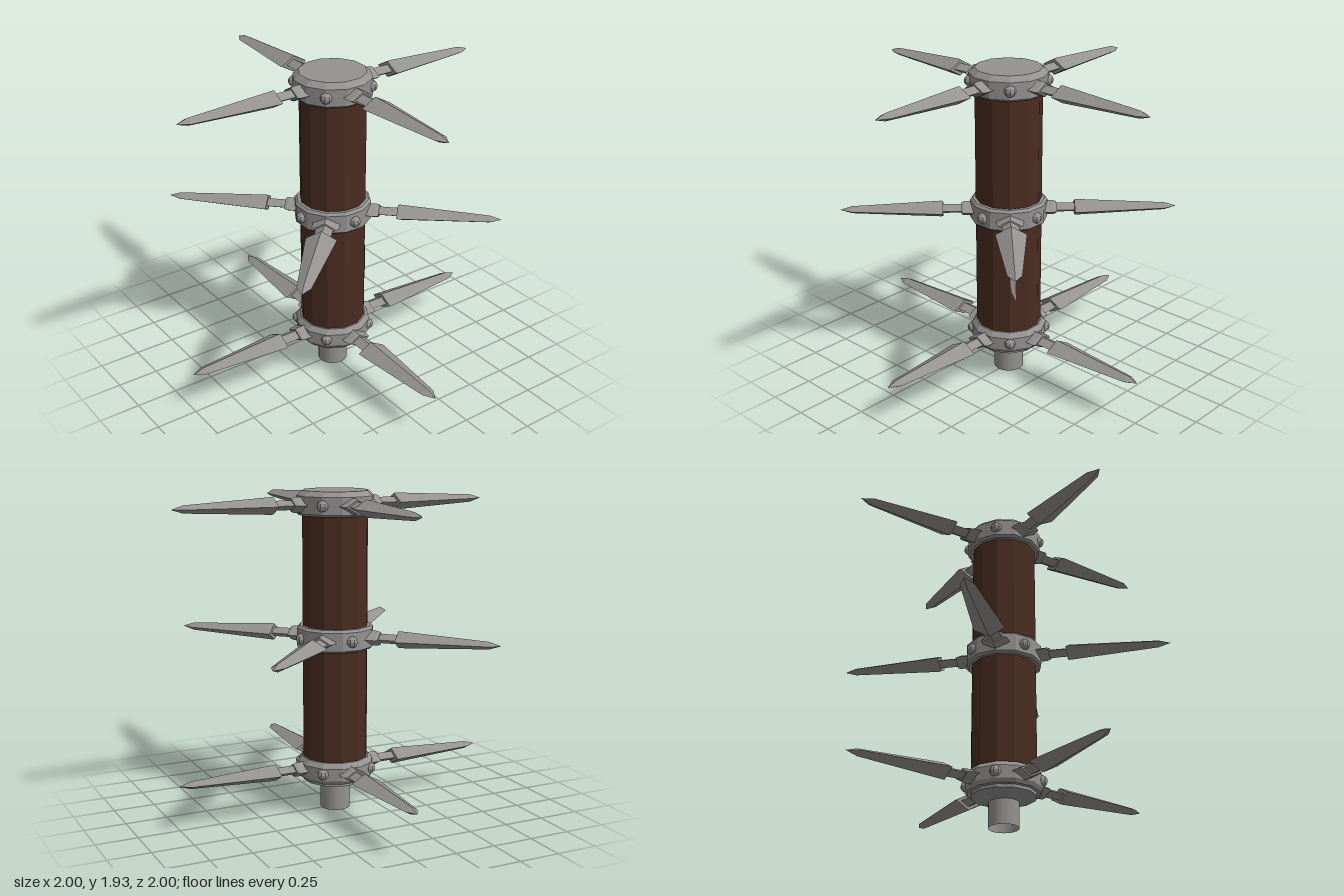
import * as THREE from 'three';

const steel = new THREE.MeshStandardMaterial({ color: 0x949291, side: THREE.DoubleSide });
steel.name = 'steel';
const wood = new THREE.MeshStandardMaterial({ color: 0x4a2c21 });
wood.name = 'dark wood';

const SIDES = 12;
const LEVELS = { bottom: 0.265, middle: 1.065, top: 1.85 };

// Separate the faces so each one shades flat
function faceted(geometry) {
  const flat = geometry.toNonIndexed();
  flat.computeVertexNormals();
  return flat;
}

// Faceted turned shape from [radius, height] pairs, listed upwards
function turned(profile, sides = SIDES, start = Math.PI / SIDES) {
  const points = profile.map(([r, y]) => new THREE.Vector2(r, y));
  return faceted(new THREE.LatheGeometry(points, sides, start));
}

function add(parent, name, geometry, material) {
  const mesh = new THREE.Mesh(geometry, material);
  mesh.name = name;
  parent.add(mesh);
  return mesh;
}

// Diamond-section spike with collar, neck and blade, pointing along +z
function spikeGeometry() {
  const g = turned([
    [0.08, 0.18], [0.08, 0.265], [0.068, 0.282], [0.05, 0.282], [0.05, 0.39],
    [0.085, 0.39], [0.09, 0.402], [0.04, 0.93], [0, 1],
  ], 4, 0);
  g.scale(1, 1, 0.56);
  g.rotateX(Math.PI / 2);
  g.computeVertexNormals();
  return g;
}

export function createModel() {
  const model = new THREE.Group();
  model.name = 'spikedPost';

  // Wooden post
  add(model, 'post', turned([[0.196, 0.2], [0.196, 1.85]]), wood);

  // Hollow foot
  add(model, 'foot', new THREE.CylinderGeometry(0.09, 0.09, 0.16, 20, 1, true).translate(0, 0.08, 0), steel);

  // Metal bands, the lowest with a tapered base and the highest with a lid
  const bands = {
    bottom: [[0, 0.15], [0.09, 0.15], [0.194, 0.182], [0.194, 0.2], [0.215, 0.202],
      [0.23, 0.225], [0.23, 0.3], [0.205, 0.33], [0.19, 0.33]],
    middle: [[0.19, 1], [0.215, 1], [0.23, 1.012], [0.23, 1.12], [0.215, 1.135], [0.19, 1.135]],
    top: [[0.19, 1.787], [0.215, 1.787], [0.23, 1.8], [0.23, 1.9], [0.196, 1.93], [0, 1.93]],
  };

  const spike = spikeGeometry();
  const rivet = faceted(new THREE.SphereGeometry(0.034, 8, 6));

  for (const [level, y] of Object.entries(LEVELS)) {
    const ring = new THREE.Group();
    ring.name = level + 'Ring';
    model.add(ring);
    add(ring, level + 'Band', turned(bands[level]), steel);

    // Four spikes with rivets between them; the middle ring is turned 45 degrees
    const turn = level === 'middle' ? Math.PI / 4 : 0;
    for (let i = 0; i < 4; i++) {
      const angle = turn + i * Math.PI / 2;
      const s = add(ring, level + 'Spike', spike, steel);
      s.position.y = y;
      s.rotation.y = angle;
      const a = angle + Math.PI / 4;
      const r = add(ring, level + 'Rivet', rivet, steel);
      r.position.set(Math.sin(a) * 0.222, y, Math.cos(a) * 0.222);
      r.rotation.y = a;
    }
  }

  // Pale scar on the front left of the post
  const scar = new THREE.Shape([
    [-0.033, 0.83], [-0.042, 0.72], [-0.05, 0.66], [-0.04, 0.6],
    [-0.014, 0.54], [-0.016, 0.63], [-0.013, 0.72], [-0.024, 0.77],
  ].map(([x, y]) => new THREE.Vector2(x, y)));
  const scarMesh = add(model, 'scar', new THREE.ShapeGeometry(scar).translate(0, 0, 0.1925), steel);
  scarMesh.rotation.y = Math.PI / 3;

  return model;
}
